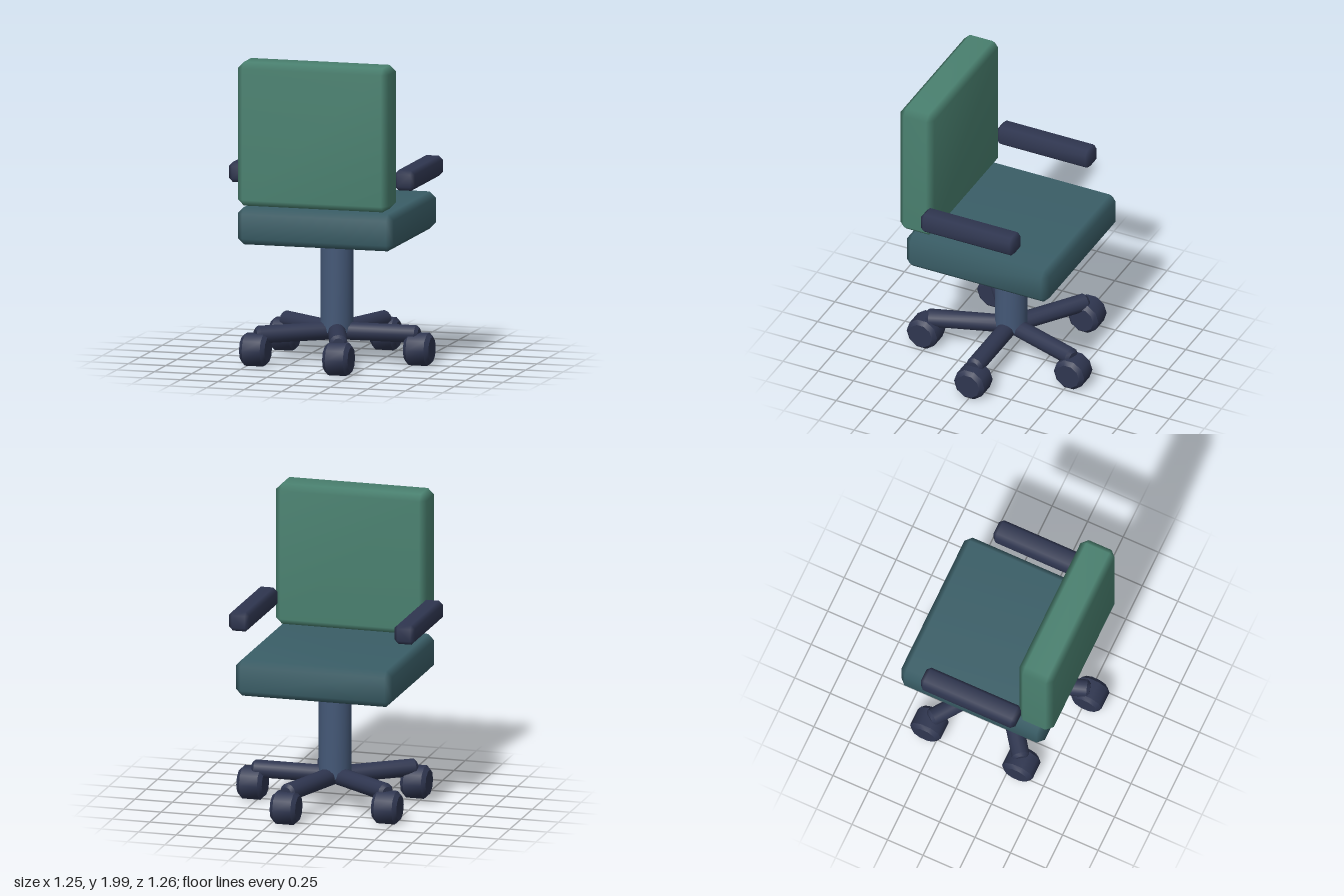
import * as THREE from 'three';
import { mergeVertices, toCreasedNormals } from 'three/addons/utils/BufferGeometryUtils.js';
import { ConvexGeometry } from 'three/addons/geometries/ConvexGeometry.js';

const paint = (name, color) => new THREE.MeshStandardMaterial({ name, color });

// Box with chamfered edges and softly shaded bevels
function bevelBox(w, h, d, c) {
  const points = [];
  for (const x of [-w / 2, w / 2]) for (const y of [-h / 2, h / 2]) for (const z of [-d / 2, d / 2]) {
    const ix = x - Math.sign(x) * c, iy = y - Math.sign(y) * c, iz = z - Math.sign(z) * c;
    points.push(new THREE.Vector3(x, iy, iz), new THREE.Vector3(ix, y, iz), new THREE.Vector3(ix, iy, z));
  }
  const raw = new ConvexGeometry(points);
  raw.deleteAttribute('normal');
  const geometry = mergeVertices(raw);
  geometry.computeVertexNormals();
  return geometry;
}

// Cylinder along y with chamfered rims
function bevelCylinder(r, length, c, sides) {
  const h = length / 2;
  const profile = [[0, -h], [r - c, -h], [r, c - h], [r, h - c], [r - c, h], [0, h]]
    .map(([x, y]) => new THREE.Vector2(x, y));
  return toCreasedNormals(new THREE.LatheGeometry(profile, sides), 0.7);
}

export function createModel() {
  const teal = paint('seat teal', 0x3a5e67);
  const green = paint('backrest green', 0x4a8170);
  const steel = paint('post steel blue', 0x445877);
  const navy = paint('dark navy', 0x2f3650);

  const chair = new THREE.Group();
  chair.name = 'officeChair';
  const add = (name, geometry, material, x, y, z) => {
    const mesh = new THREE.Mesh(geometry, material);
    mesh.name = name;
    mesh.position.set(x, y, z);
    chair.add(mesh);
    return mesh;
  };
  const cx = -0.01; // axis of the post

  // Cushions
  add('seat', bevelBox(1.04, 0.24, 1.01, 0.04), teal, cx, 0.93, 0);
  add('backrest', bevelBox(1.005, 0.93, 0.24, 0.04), green, cx, 1.535, 0.44);

  // Armrests
  for (const side of [-1, 1]) {
    add(side > 0 ? 'leftArmrest' : 'rightArmrest', bevelBox(0.135, 0.13, 0.665, 0.025),
      navy, cx + side * 0.552, 1.25, 0.018);
  }

  // Centre post
  add('post', toCreasedNormals(new THREE.CylinderGeometry(0.105, 0.105, 0.65, 20), 0.7), steel, cx, 0.525, 0);

  // Five-star base, every caster rolling the same way
  const legGeometry = bevelCylinder(0.058, 0.55, 0.02, 12).rotateZ(-Math.PI / 2).translate(0.275, 0, 0);
  const casterGeometry = bevelCylinder(0.108, 0.17, 0.025, 10).rotateZ(-Math.PI / 2);
  for (let i = 0; i < 5; i++) {
    const a = i * Math.PI * 2 / 5;
    add('baseLeg', legGeometry, navy, cx, 0.203, 0).rotation.y = a;
    add('caster', casterGeometry, navy, cx + 0.55 * Math.cos(a), 0.108, -0.55 * Math.sin(a));
  }
  return chair;
}
